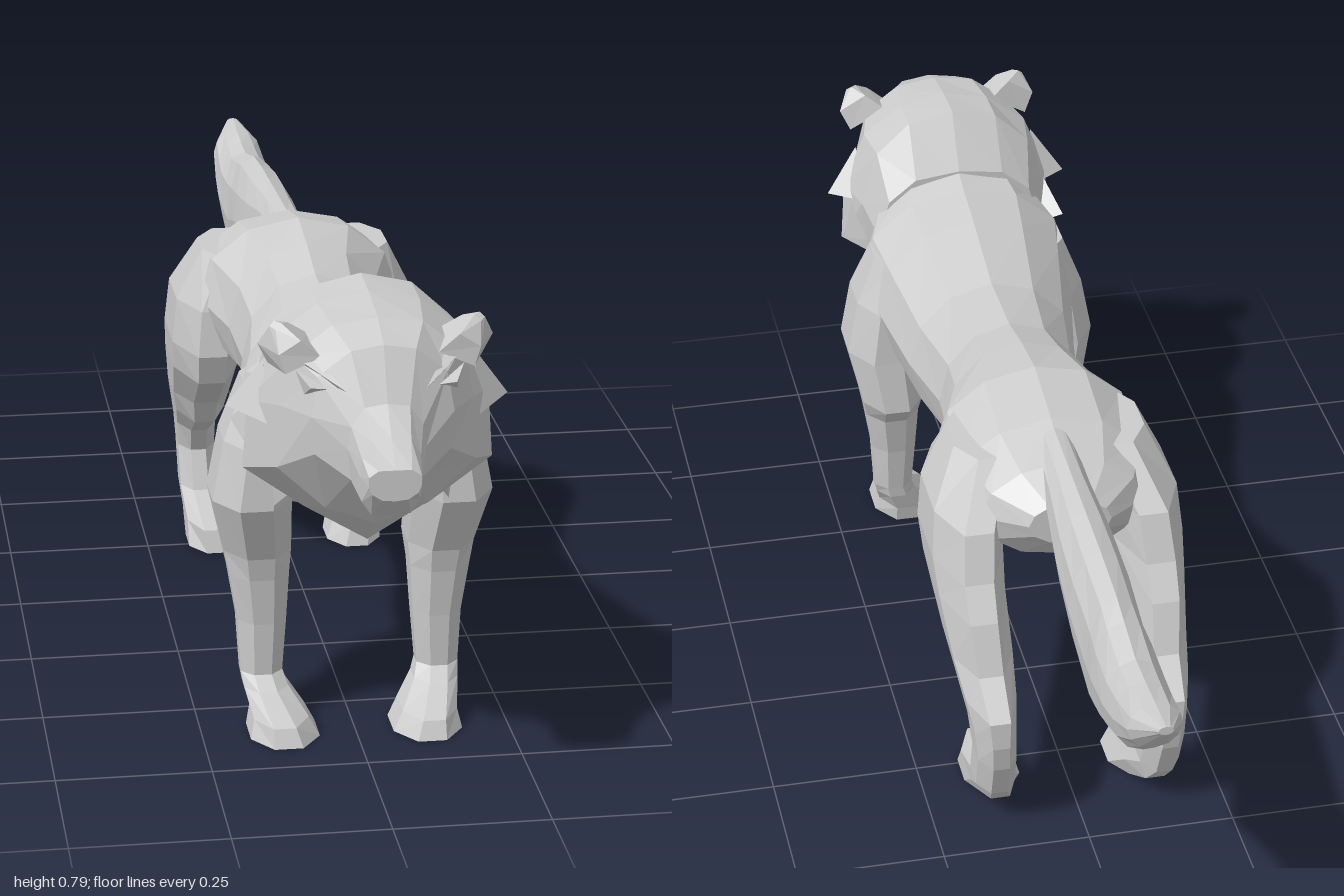
import * as THREE from 'three';

const fur = new THREE.MeshStandardMaterial({ color: 0xcccccc, flatShading: true });
fur.name = 'grey fur';

// Skin a closed surface over rings of [x, y, z] points, with capped ends.
function loft(rings) {
  const n = rings[0].length, tris = [];
  for (let i = 0; i < rings.length - 1; i++) {
    for (let j = 0; j < n; j++) {
      const k = (j + 1) % n;
      const a = rings[i][j], b = rings[i][k], c = rings[i + 1][k], d = rings[i + 1][j];
      tris.push([a, b, c], [a, c, d]);
    }
  }
  const first = rings[0], last = rings[rings.length - 1];
  for (let j = 1; j < n - 1; j++) {
    tris.push([first[0], first[j + 1], first[j]], [last[0], last[j], last[j + 1]]);
  }
  return solid(tris);
}

// Build a closed solid, turning all faces outward by its signed volume.
function solid(tris) {
  const v = p => new THREE.Vector3(...p);
  const volume = tris.reduce((s, [a, b, c]) => s + v(a).dot(v(b).cross(v(c))), 0);
  const pts = tris.flatMap(([a, b, c]) => (volume < 0 ? [a, c, b] : [a, b, c])).flat();
  const g = new THREE.BufferGeometry();
  g.setAttribute('position', new THREE.Float32BufferAttribute(pts, 3));
  g.computeVertexNormals();
  return g;
}

// Three-cornered tuft rising to a tip.
const tuft = (a, b, c, tip) => solid([[a, b, c], [a, tip, b], [b, tip, c], [c, tip, a]]);

// Mirror a half section (top to bottom) across x = 0.
function section(z, half) {
  const right = half.map(([x, y, dz = 0]) => [x, y, z + dz]);
  const left = right.slice(1, -1).reverse().map(([x, y, w]) => [-x, y, w]);
  return [...right, ...left];
}

// Rounded upright section from top, bottom and half width.
function oval([z, top, bottom, w]) {
  const mid = (top + bottom) / 2, h = (top - bottom) / 2, half = [];
  for (let i = 0; i <= 6; i++) {
    const a = i * Math.PI / 6;
    half.push([i % 6 ? w * Math.sin(a) : 0, mid + h * Math.cos(a)]);
  }
  return section(z, half);
}

// Eight-sided level section of a leg.
function legRing([y, cx, cz, rx, rz]) {
  return Array.from({ length: 8 }, (_, i) => {
    const a = (i + 0.5) * Math.PI / 4, s = 1.05;
    return [cx + rx * s * Math.cos(a), y, cz + rz * s * Math.sin(a)];
  });
}

export function createModel() {
  const model = new THREE.Group();
  model.name = 'wolf';
  const add = (name, geometry) => {
    const mesh = new THREE.Mesh(geometry, fur);
    mesh.name = name;
    model.add(mesh);
  };
  // Add a part and its mirror image.
  const addPair = (name, make, data) => {
    for (const s of [1, -1]) {
      add((s > 0 ? 'left ' : 'right ') + name, make(data.map(r => r.map(p => [s * p[0], p[1], p[2]]))));
    }
  };

  // Torso: z, top, bottom, half width
  add('torso', loft([
    [0.69, 0.66, 0.45, 0.11], [0.62, 0.705, 0.385, 0.165], [0.55, 0.685, 0.36, 0.195],
    [0.46, 0.668, 0.345, 0.18], [0.30, 0.63, 0.333, 0.15], [0.15, 0.636, 0.35, 0.125],
    [0.05, 0.658, 0.372, 0.135], [-0.06, 0.674, 0.395, 0.175], [-0.19, 0.65, 0.40, 0.175],
    [-0.28, 0.62, 0.44, 0.14], [-0.34, 0.58, 0.50, 0.07],
  ].map(oval)));

  // Tail: narrow root, deep brush, pointed end
  add('tail', loft([
    [-0.19, 0.645, 0.57, 0.035], [-0.33, 0.638, 0.515, 0.04], [-0.45, 0.632, 0.462, 0.05],
    [-0.56, 0.626, 0.418, 0.053], [-0.67, 0.615, 0.372, 0.05], [-0.72, 0.603, 0.395, 0.053],
    [-0.80, 0.586, 0.43, 0.053], [-0.86, 0.588, 0.455, 0.05], [-0.93, 0.594, 0.51, 0.045],
    [-1.00, 0.60, 0.585, 0.012],
  ].map(oval)));

  // Head with ruff, brow, muzzle and nose
  add('head', loft([
    section(0.59, [[0, 0.70], [0.08, 0.69], [0.13, 0.65], [0.15, 0.58], [0.14, 0.50], [0.08, 0.44], [0, 0.42]]),
    section(0.65, [[0, 0.793], [0.08, 0.775], [0.14, 0.72], [0.17, 0.62], [0.16, 0.52], [0.1, 0.44], [0, 0.40]]),
    section(0.73, [[0, 0.788], [0.08, 0.772], [0.15, 0.72], [0.19, 0.62], [0.197, 0.51], [0.1, 0.44], [0, 0.38]]),
    section(0.82, [[0, 0.775], [0.07, 0.765], [0.13, 0.72], [0.15, 0.64], [0.155, 0.54], [0.08, 0.47], [0, 0.44]]),
    section(0.88, [[0, 0.75], [0.05, 0.742], [0.1, 0.70, -0.01], [0.11, 0.64], [0.105, 0.58], [0.05, 0.535], [0, 0.51]]),
    section(0.92, [[0, 0.67], [0.035, 0.665], [0.055, 0.635], [0.06, 0.60], [0.055, 0.55], [0.03, 0.525], [0, 0.52]]),
    section(0.96, [[0, 0.628], [0.03, 0.626], [0.045, 0.60], [0.048, 0.57], [0.045, 0.53], [0.03, 0.508], [0, 0.505]]),
    section(1.0, [[0, 0.592], [0.025, 0.592], [0.04, 0.582], [0.04, 0.567], [0.035, 0.555], [0.02, 0.545], [0, 0.543]]),
  ]));

  // Ears: flattened cups leaning outward
  addPair('ear', loft, [
    [[0.09, 0.725, 0.85], [0.145, 0.70, 0.85], [0.165, 0.70, 0.79], [0.10, 0.74, 0.78]],
    [[0.122, 0.752, 0.85], [0.155, 0.73, 0.848], [0.182, 0.735, 0.80], [0.135, 0.765, 0.795]],
    [[0.148, 0.773, 0.825], [0.158, 0.765, 0.83], [0.166, 0.768, 0.82], [0.158, 0.775, 0.815]],
  ]);

  // Pointed tufts: corners a, b, c and tip
  const tufts = {
    'upper cheek tuft': [[0.165, 0.69, 0.74], [0.165, 0.60, 0.79], [0.15, 0.61, 0.67], [0.222, 0.61, 0.72]],
    'lower cheek tuft': [[0.17, 0.63, 0.72], [0.18, 0.53, 0.76], [0.15, 0.54, 0.65], [0.205, 0.56, 0.64]],
    'ruff tuft': [[0.15, 0.56, 0.70], [0.12, 0.48, 0.76], [0.09, 0.48, 0.66], [0.14, 0.42, 0.67]],
    'brow': [[0.135, 0.725, 0.83], [0.10, 0.69, 0.84], [0.115, 0.735, 0.82], [0.06, 0.688, 0.912]],
    'eye': [[0.13, 0.705, 0.845], [0.118, 0.67, 0.86], [0.085, 0.685, 0.885], [0.112, 0.688, 0.886]],
  };
  for (const [name, points] of Object.entries(tufts)) {
    addPair(name, ([p]) => tuft(...p), [points]);
  }

  // Front legs with paws: y, centre x, centre z, radius x, radius z
  addPair('front leg', loft, [
    [0.59, 0.125, 0.53, 0.05, 0.07], [0.50, 0.152, 0.54, 0.058, 0.10], [0.40, 0.163, 0.54, 0.066, 0.105],
    [0.30, 0.15, 0.512, 0.056, 0.085], [0.26, 0.148, 0.525, 0.05, 0.062], [0.18, 0.144, 0.53, 0.041, 0.047],
    [0.09, 0.145, 0.535, 0.035, 0.037], [0.07, 0.14, 0.55, 0.037, 0.05], [0.035, 0.122, 0.59, 0.046, 0.08],
    [0.005, 0.117, 0.60, 0.058, 0.083],
  ].map(legRing));

  // Hind legs: broad thigh, hock pointing back, forward paw
  addPair('hind leg', loft, [
    [0.61, 0.11, -0.14, 0.055, 0.09], [0.52, 0.148, -0.17, 0.062, 0.15], [0.44, 0.155, -0.18, 0.062, 0.17],
    [0.385, 0.155, -0.21, 0.058, 0.178], [0.30, 0.15, -0.298, 0.052, 0.12], [0.25, 0.148, -0.35, 0.044, 0.135],
    [0.20, 0.147, -0.40, 0.036, 0.085], [0.15, 0.145, -0.412, 0.034, 0.062], [0.08, 0.143, -0.385, 0.035, 0.06],
    [0.045, 0.135, -0.31, 0.041, 0.105], [0.005, 0.127, -0.27, 0.05, 0.075],
  ].map(legRing));

  return model;
}
